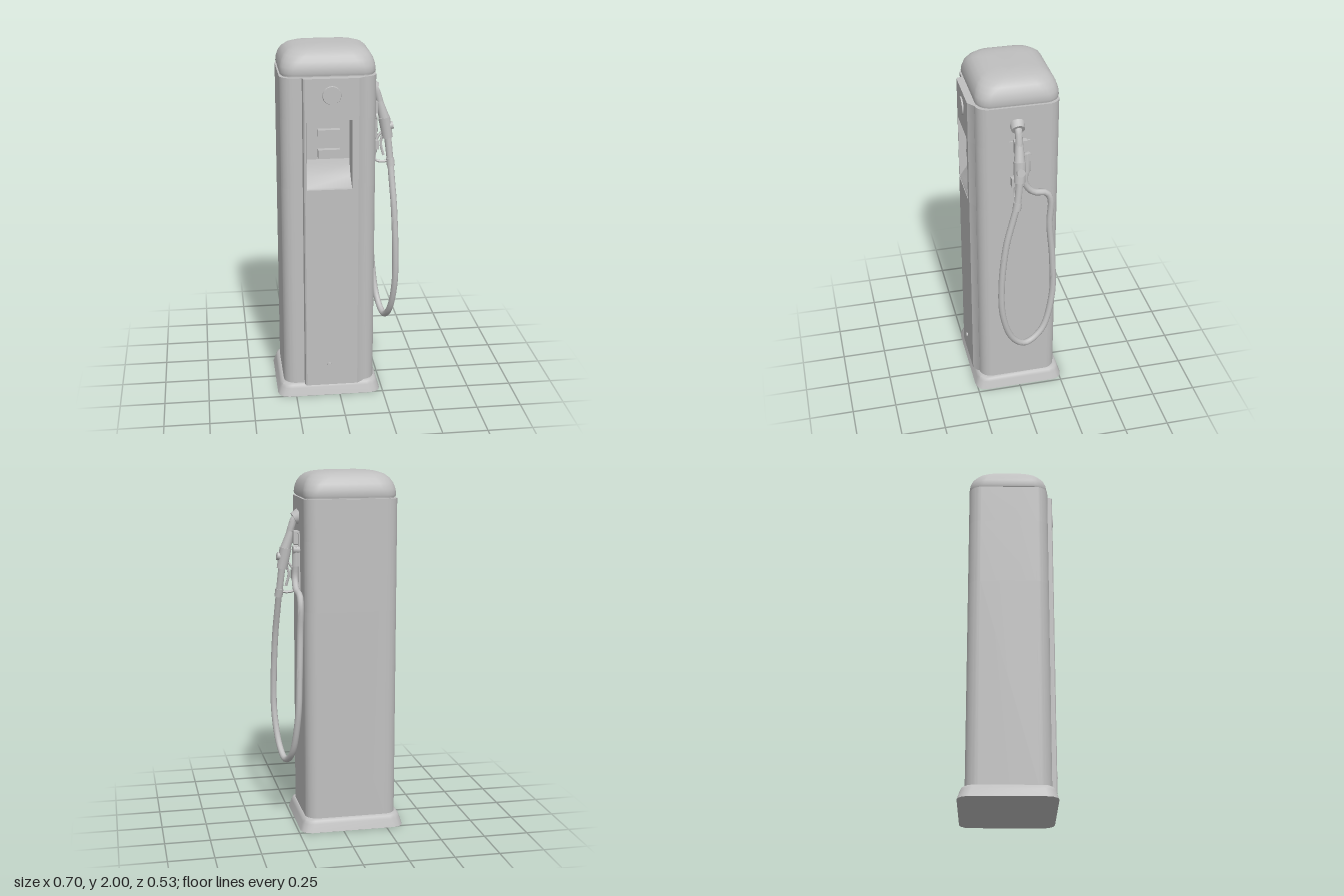
import * as THREE from 'three';
import { toCreasedNormals } from 'three/addons/utils/BufferGeometryUtils.js';

const grey = new THREE.MeshStandardMaterial({ color: 0xc0c0c0 });
grey.name = 'grey paint';

const V = (x, y, z) => new THREE.Vector3(x, y, z);

function add(group, name, geometry, crease = 0.6) {
  const mesh = new THREE.Mesh(toCreasedNormals(geometry, crease), grey);
  mesh.name = name;
  group.add(mesh);
  return mesh;
}

function box(group, name, x0, x1, y0, y1, z0, z1) {
  const g = new THREE.BoxGeometry(x1 - x0, y1 - y0, z1 - z0);
  g.translate((x0 + x1) / 2, (y0 + y1) / 2, (z0 + z1) / 2);
  return add(group, name, g);
}

// tapered round bar between two points
function rod(group, name, a, b, ra, rb, sides = 12) {
  const d = b.clone().sub(a);
  const g = new THREE.CylinderGeometry(rb, ra, d.length(), sides);
  g.applyQuaternion(new THREE.Quaternion().setFromUnitVectors(V(0, 1, 0), d.normalize()));
  g.translate((a.x + b.x) / 2, (a.y + b.y) / 2, (a.z + b.z) / 2);
  return add(group, name, g, 0.8);
}

function tube(group, name, points, radius, steps = 40, sides = 10) {
  const curve = new THREE.CatmullRomCurve3(points.map(p => V(...p)));
  return add(group, name, new THREE.TubeGeometry(curve, steps, radius, sides), 1);
}

// stacked rounded rectangles: rows of [y, inset, corner radius]
function loft(x0, x1, z0, z1, rows, seg) {
  const pos = [], idx = [], n = 4 * (seg + 1);
  for (const [y, inset, r] of rows) {
    for (let c = 0; c < 4; c++) {
      const cx = c === 0 || c === 3 ? x1 - inset - r : x0 + inset + r;
      const cz = c < 2 ? z1 - inset - r : z0 + inset + r;
      for (let i = 0; i <= seg; i++) {
        const a = (c + i / seg) * Math.PI / 2;
        pos.push(cx + r * Math.cos(a), y, cz + r * Math.sin(a));
      }
    }
  }
  for (let k = 0; k < rows.length - 1; k++) {
    for (let i = 0; i < n; i++) {
      const a = k * n + i, b = k * n + (i + 1) % n;
      idx.push(a, a + n, b, b, a + n, b + n);
    }
  }
  const top = (rows.length - 1) * n;
  for (let i = 1; i < n - 1; i++) {
    idx.push(0, i, i + 1, top, top + i + 1, top + i);
  }
  const g = new THREE.BufferGeometry();
  g.setAttribute('position', new THREE.Float32BufferAttribute(pos, 3));
  g.setIndex(idx);
  return g;
}

// plan of the cabinet with its raised front panel, optionally notched
function cabinetSlice(y0, y1, notch) {
  const L = -0.315, R = 0.203, F = 0.225, r = 0.07;
  const s = new THREE.Shape();
  s.moveTo(L + r, -F);
  s.lineTo(-0.2, -F);
  s.lineTo(-0.195, -0.25);
  s.lineTo(-0.188, -0.255);
  if (notch) {
    s.lineTo(-0.18, -0.255);
    s.lineTo(-0.172, -0.19);
    s.lineTo(0.057, -0.19);
    s.lineTo(0.065, -0.255);
  }
  s.lineTo(0.1, -0.255);
  s.lineTo(0.14, -F);
  s.absarc(R - r, -F + r, r, -Math.PI / 2, 0, false);
  s.absarc(R - r, F - r, r, 0, Math.PI / 2, false);
  s.absarc(L + r, F - r, r, Math.PI / 2, Math.PI, false);
  s.absarc(L + r, -F + r, r, Math.PI, Math.PI * 1.5, false);
  const g = new THREE.ExtrudeGeometry(s, { depth: y1 - y0, bevelEnabled: false, curveSegments: 8 });
  g.rotateX(-Math.PI / 2);
  g.translate(0, y0, 0);
  return g;
}

export function createModel() {
  const model = new THREE.Group();
  model.name = 'fuelPump';

  // plinth, cabinet, neck and domed cap
  add(model, 'base', loft(-0.352, 0.237, -0.264, 0.258,
    [[0, 0, 0.06], [0.045, 0.014, 0.06], [0.062, 0.02, 0.06], [0.07, 0.032, 0.05]], 3), 0.7);
  const cabinet = new THREE.Group();
  cabinet.name = 'cabinet';
  model.add(cabinet);
  add(cabinet, 'lowerCabinet', cabinetSlice(0.065, 1.245, false));
  add(cabinet, 'displayCabinet', cabinetSlice(1.245, 1.63, true));
  add(cabinet, 'upperCabinet', cabinetSlice(1.63, 1.855, false));
  add(model, 'neck', loft(-0.3, 0.19, -0.21, 0.21, [[1.85, 0, 0.07], [1.87, 0, 0.07]], 6));
  add(model, 'cap', loft(-0.312, 0.203, -0.226, 0.222,
    [[1.862, 0.004, 0.08], [1.875, 0, 0.085], [1.905, 0.003, 0.09], [1.935, 0.012, 0.095], [1.96, 0.027, 0.1],
      [1.98, 0.05, 0.1], [1.991, 0.08, 0.09], [1.997, 0.12, 0.07], [2, 0.16, 0.04]], 6), 1);

  // display recess: sloping sill and two read-out blocks
  const sill = new THREE.Shape([[0.185, 1.24], [0.253, 1.24], [0.25, 1.255], [0.215, 1.31], [0.195, 1.38], [0.185, 1.42]]
    .map(p => new THREE.Vector2(...p)));
  const sillGeometry = new THREE.ExtrudeGeometry(sill, { depth: 0.243, bevelEnabled: false });
  sillGeometry.rotateY(-Math.PI / 2);
  sillGeometry.translate(0.064, 0, 0);
  add(model, 'recessSill', sillGeometry, 0.8);
  box(model, 'upperReadout', -0.115, 0.003, 1.53, 1.57, 0.18, 0.225);
  box(model, 'lowerReadout', -0.115, 0.003, 1.415, 1.46, 0.18, 0.225);

  // round badge plate and lock
  rod(model, 'roundPlate', V(-0.045, 1.765, 0.25), V(-0.045, 1.765, 0.263), 0.052, 0.048, 24);
  rod(model, 'lock', V(-0.06, 0.195, 0.25), V(-0.06, 0.195, 0.264), 0.012, 0.01, 10);

  // nozzle holder on the side
  const holder = new THREE.Group();
  holder.name = 'nozzleHolder';
  model.add(holder);
  box(holder, 'holderPlate', 0.195, 0.212, 1.34, 1.66, -0.055, 0.055);
  box(holder, 'holderHook', 0.2, 0.235, 1.6, 1.67, -0.035, 0.035);
  box(holder, 'holderRest', 0.2, 0.24, 1.4, 1.45, -0.03, 0.05);
  rod(holder, 'spoutSocket', V(0.19, 1.755, 0.012), V(0.225, 1.735, 0.012), 0.042, 0.036);

  // nozzle: spout, valve body, grip, trigger and guard
  const nozzle = new THREE.Group();
  nozzle.name = 'nozzle';
  model.add(nozzle);
  tube(nozzle, 'spout', [[0.205, 1.745, 0.012], [0.222, 1.735, 0.012], [0.24, 1.69, 0.012], [0.258, 1.62, 0.015]], 0.02, 14);
  rod(nozzle, 'spoutCollar', V(0.243, 1.665, 0.013), V(0.275, 1.565, 0.016), 0.022, 0.03);
  rod(nozzle, 'valveBody', V(0.272, 1.575, 0.016), V(0.293, 1.46, 0.02), 0.034, 0.03);
  rod(nozzle, 'valveCap', V(0.27, 1.52, 0.018), V(0.322, 1.53, 0.018), 0.026, 0.022);
  rod(nozzle, 'grip', V(0.293, 1.47, 0.02), V(0.308, 1.32, 0.035), 0.02, 0.019);
  tube(nozzle, 'trigger', [[0.27, 1.49, 0.02], [0.255, 1.43, 0.02], [0.27, 1.36, 0.027]], 0.008, 12, 6);
  tube(nozzle, 'guard', [[0.265, 1.5, 0.02], [0.235, 1.46, 0.022], [0.222, 1.39, 0.027], [0.225, 1.335, 0.03],
    [0.26, 1.325, 0.032], [0.305, 1.33, 0.034]], 0.008, 24, 6);
  rod(nozzle, 'hoseCollar', V(0.306, 1.345, 0.033), V(0.311, 1.3, 0.04), 0.023, 0.023);

  // hanging hose and its outlet from the cabinet
  tube(model, 'hose', [[0.308, 1.33, 0.035], [0.314, 1.22, 0.065], [0.322, 1.08, 0.1], [0.33, 0.82, 0.128],
    [0.33, 0.61, 0.12], [0.312, 0.43, 0.06], [0.292, 0.367, -0.02], [0.267, 0.43, -0.12], [0.243, 0.65, -0.183],
    [0.233, 0.9, -0.183], [0.225, 1.13, -0.165], [0.222, 1.28, -0.17], [0.222, 1.33, -0.145],
    [0.228, 1.35, -0.07], [0.228, 1.41, -0.025], [0.222, 1.5, -0.03]], 0.018, 90);
  rod(model, 'hoseCoupling', V(0.222, 1.48, -0.03), V(0.222, 1.59, -0.035), 0.024, 0.02);
  rod(model, 'hoseOutlet', V(0.19, 1.57, -0.035), V(0.24, 1.57, -0.035), 0.026, 0.024);

  return model;
}
